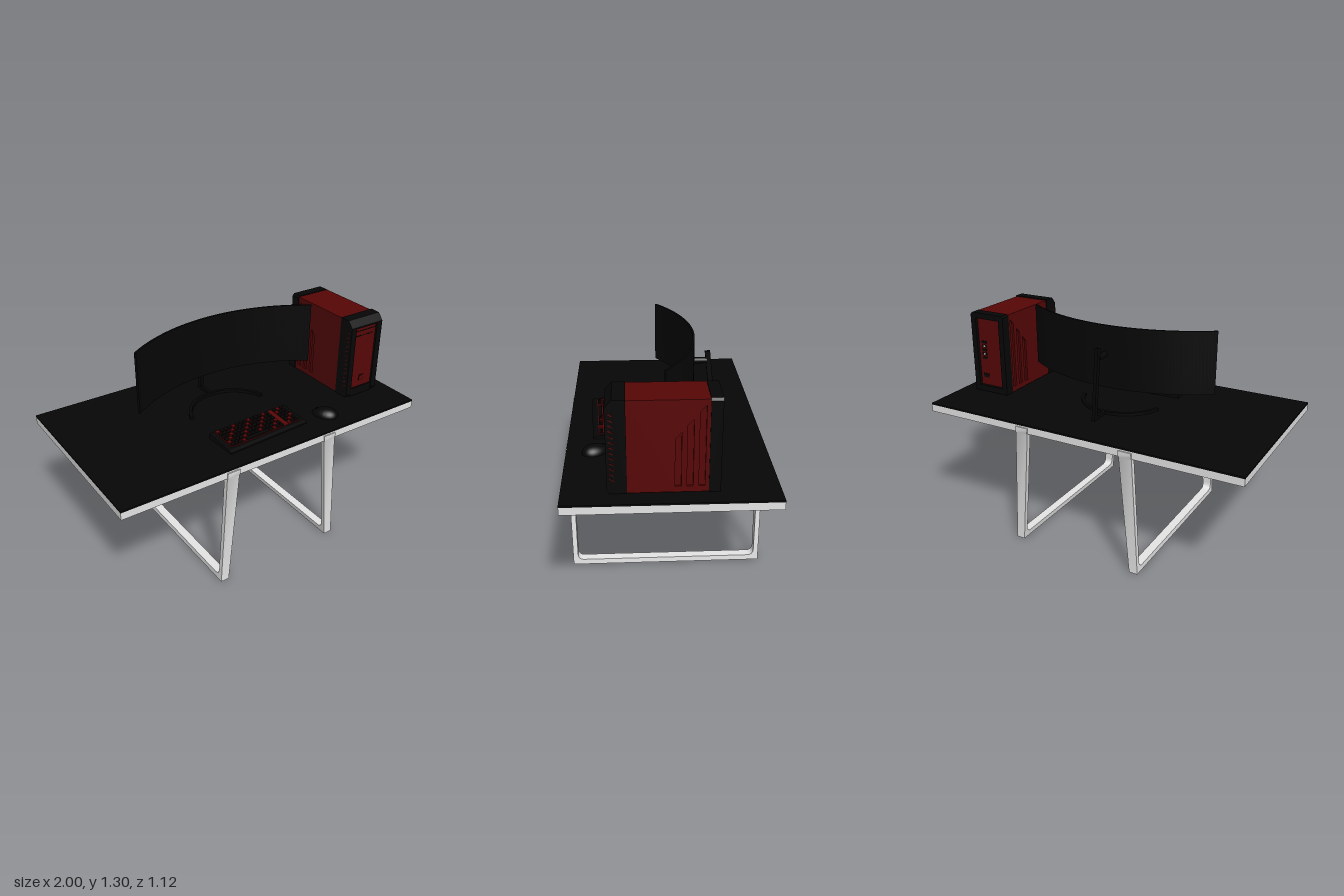
import * as THREE from 'three';
import { mergeGeometries, toCreasedNormals } from 'three/addons/utils/BufferGeometryUtils.js';

const mat = (name, color) => {
  const m = new THREE.MeshStandardMaterial({ color });
  m.name = name;
  return m;
};

export function createModel() {
  const black = mat('black', 0x060606);
  const red = mat('dark red', 0x580606);
  const white = mat('white', 0xeeeeee);
  const root = new THREE.Group();

  const group = (name, parent = root) => {
    const g = new THREE.Group();
    g.name = name;
    parent.add(g);
    return g;
  };
  const add = (name, geo, material, parent) => {
    const m = new THREE.Mesh(geo, material);
    m.name = name;
    parent.add(m);
    return m;
  };
  // box given by its min and max on each axis
  const box = (name, material, parent, x0, x1, y0, y1, z0, z1) => {
    const m = add(name, new THREE.BoxGeometry(x1 - x0, y1 - y0, z1 - z0), material, parent);
    m.position.set((x0 + x1) / 2, (y0 + y1) / 2, (z0 + z1) / 2);
    return m;
  };
  const poly = (pts) => new THREE.Shape(pts.map(([a, b]) => new THREE.Vector2(a, b)));
  const extrude = (shape, depth) =>
    new THREE.ExtrudeGeometry(shape, { depth, bevelEnabled: false, curveSegments: 32 });
  // side profile in (-z, y), extruded along +x from x0
  const sideExtrude = (shape, x0, width) => extrude(shape, width).rotateY(Math.PI / 2).translate(x0, 0, 0);
  // curved wall or plate seen from above, bulging to the back
  const arcPlate = (cz, r0, r1, half, y0, height) => {
    const s = new THREE.Shape();
    s.absarc(0, -cz, r1, Math.PI / 2 - half, Math.PI / 2 + half, false);
    s.absarc(0, -cz, r0, Math.PI / 2 + half, Math.PI / 2 - half, true);
    return toCreasedNormals(extrude(s, height).rotateX(-Math.PI / 2).translate(0, y0, 0), 0.5);
  };

  // ---- Desk ----
  const desk = group('desk');
  box('deskTop', black, desk, -1, 1, 0.758, 0.768, -0.555, 0.555);
  box('undersidePanel', white, desk, -0.97, 0.97, 0.73, 0.757, -0.53, 0.53);
  for (const s of [-1, 1]) {
    box('longRail', white, desk, -1, 1, 0.715, 0.758, s * 0.5355 - 0.0195, s * 0.5355 + 0.0195);
    box('shortRail', white, desk, s * 0.98 - 0.02, s * 0.98 + 0.02, 0.715, 0.758, -0.516, 0.516);
  }

  // ---- Legs: rounded U loops, leaning and widening to the top ----
  const u = new THREE.Shape();
  const o = 0.557, i = 0.528, b = 0.032, r = 0.04, top = 0.75;
  u.moveTo(-0.553, 0);
  u.lineTo(0.553, 0);
  u.lineTo(o, 0.71);
  u.lineTo(o + 0.005, 0.72);
  u.lineTo(o + 0.005, top);
  u.lineTo(i, top);
  u.lineTo(i - 0.003, b + r);
  u.quadraticCurveTo(i - 0.003, b, i - r, b);
  u.lineTo(-i + r, b);
  u.quadraticCurveTo(-i + 0.003, b, -i + 0.003, b + r);
  u.lineTo(-i, top);
  u.lineTo(-o - 0.005, top);
  u.lineTo(-o - 0.005, 0.72);
  u.lineTo(-o, 0.71);
  let legGeo = sideExtrude(u, 0, 1);
  const p = legGeo.attributes.position;
  for (let k = 0; k < p.count; k++) {
    const t = p.getY(k) / 0.75;
    const inner = 0.362 - 0.07 * t, outer = 0.414 - 0.042 * t;
    p.setX(k, inner + (outer - inner) * p.getX(k));
  }
  legGeo = toCreasedNormals(legGeo, 0.5);
  add('leftLegFrame', legGeo, white, desk);
  add('rightLegFrame', legGeo, white, desk).rotation.y = Math.PI;

  // ---- Curved monitor on a leaning stand ----
  const monitor = group('monitor');
  add('curvedScreen', arcPlate(0.862, 1.03, 1.042, 0.617, 0.93, 0.37), black, monitor);
  add('standFoot', arcPlate(0.07, 0.25, 0.27, 1.3, 0.768, 0.017), black, monitor);
  box('footBar', black, monitor, -0.01, 0.01, 0.768, 0.786, -0.32, -0.19);
  const post = poly([[0.292, 0.768], [0.322, 0.768], [0.275, 1.19], [0.245, 1.185]]);
  add('standPost', sideExtrude(post, -0.01, 0.02), black, monitor);
  const mount = add('mount', new THREE.CylinderGeometry(0.018, 0.018, 0.085, 20).rotateX(Math.PI / 2), black, monitor);
  mount.position.set(0, 1.13, -0.215);

  // ---- Computer tower ----
  const tower = group('computerTower');
  const X0 = 0.665, X1 = 0.905, Y0 = 0.773, Y1 = 1.275;
  box('body', red, tower, 0.682, 0.888, Y0, 1.27, -0.215, 0.24);

  // side panels with three slanted vents
  const panel = poly([[-0.22, Y0], [0.186, Y0], [0.186, 1.27], [-0.22, 1.27]]);
  [[0.017, 1.1], [0.076, 1.17], [0.135, 1.24]].forEach(([s, y]) =>
    panel.holes.push(poly([[s, 0.805], [s, y - 0.035], [s + 0.031, y], [s + 0.031, 0.805]])));
  for (const x of [0.67, 0.888]) add('sidePanel', sideExtrude(panel, x, 0.012), red, tower);

  // front bezel: chamfered cheeks around a recessed red panel
  const bezel = poly([[-0.32, 0.79], [-0.305, Y0], [-0.22, Y0], [-0.22, Y1], [-0.285, Y1], [-0.32, 1.235]]);
  add('bezelCheek', sideExtrude(bezel, X0, 0.037), black, tower);
  add('bezelCheek', sideExtrude(bezel, 0.866, X1 - 0.866), black, tower);
  const cap = poly([[-0.32, 1.225], [-0.22, 1.225], [-0.22, Y1], [-0.285, Y1], [-0.32, 1.235]]);
  add('bezelTop', sideExtrude(cap, 0.7, 0.17), black, tower);
  box('bezelBottom', black, tower, 0.7, 0.868, Y0, 0.825, 0.22, 0.316);
  box('frontPanel', red, tower, 0.7, 0.868, 0.824, 1.226, 0.23, 0.308);
  box('driveLine', black, tower, 0.703, 0.865, 1.198, 1.203, 0.307, 0.31);
  for (let k = 0; k < 6; k++) {
    const x = 0.718 + k * 0.023;
    box('driveSlot', black, tower, x, x + 0.016, 1.166, 1.172, 0.307, 0.31);
  }
  box('buttonRim', black, tower, 0.766, 0.804, 0.862, 0.9, 0.307, 0.31);
  box('button', red, tower, 0.77, 0.8, 0.866, 0.896, 0.308, 0.312);

  // slanted red slashes on both cheeks
  for (const x of [X0, X1]) {
    for (let k = 0; k < 13; k++) {
      const slash = add('bezelSlash', new THREE.BoxGeometry(0.003, 0.005, 0.028), red, tower);
      slash.position.set(x, 0.85 + k * 0.029, 0.294);
      slash.rotation.x = -0.5;
    }
  }

  // back frame with recessed red panel and connectors
  const back = poly([[X0, Y0], [X1, Y0], [X1, 1.262], [X1 - 0.013, Y1], [X0 + 0.013, Y1], [X0, 1.262]]);
  back.holes.push(poly([[0.7, 0.81], [0.7, 1.24], [0.87, 1.24], [0.87, 0.81]]));
  add('backFrame', extrude(back, 0.06).translate(0, 0, -0.245), black, tower);
  box('backPanel', red, tower, 0.7, 0.87, 0.81, 1.24, -0.225, -0.2);
  for (let k = 0; k < 5; k++) {
    const y = 0.98 + k * 0.025;
    box('port', black, tower, 0.815, 0.85, y, y + 0.016, -0.228, -0.224);
    if (k % 2) box('portPin', white, tower, 0.824, 0.836, y + 0.004, y + 0.012, -0.23, -0.227);
  }
  box('powerSocket', black, tower, 0.81, 0.85, 0.86, 0.885, -0.228, -0.224);
  for (const x of [0.68, 0.865]) for (const z of [-0.23, 0.24])
    box('towerFoot', black, tower, x, x + 0.025, 0.767, Y0 + 0.001, z, z + 0.03);

  // ---- Keyboard ----
  const keyboard = group('keyboard');
  keyboard.position.set(0, 0.768, 0.32);
  keyboard.rotation.y = 0.05;
  const wedge = poly([[-0.105, 0], [0.1, 0], [0.1, 0.032], [-0.085, 0.014], [-0.105, 0.008]]);
  add('keyboardCase', sideExtrude(wedge, -0.275, 0.55), black, keyboard);
  const deck = group('keyDeck', keyboard);
  deck.position.set(0, 0.0245, -0.012);
  deck.rotation.x = 0.097;
  box('backlightPlate', red, deck, -0.245, 0.25, -0.004, 0.002, -0.083, 0.083);
  const caps = [[], []];
  for (let row = 0; row < 6; row++) {
    for (let col = 0; col < 18; col++) {
      if (col === 14) continue;
      const space = row === 5 && col >= 4 && col <= 9;
      if (space && col > 4) continue;
      const w = space ? 0.156 : 0.021;
      const keyCap = new THREE.BoxGeometry(w, 0.009, 0.021);
      keyCap.translate(-0.241 + col * 0.0273 + w / 2, 0.004, -0.069 + row * 0.0275);
      caps[(row * 7 + col * 3) % 4 === 0 ? 1 : 0].push(keyCap);
    }
  }
  add('blackKeys', mergeGeometries(caps[0]), black, deck);
  add('redKeys', mergeGeometries(caps[1]), red, deck);

  // ---- Mouse ----
  const mouse = group('mouse');
  mouse.position.set(0.436, 0.768, 0.392);
  mouse.rotation.y = 0.55;
  const shell = new THREE.SphereGeometry(1, 28, 12, 0, Math.PI * 2, 0, Math.PI / 2);
  const mp = shell.attributes.position;
  for (let k = 0; k < mp.count; k++) {
    const z = mp.getZ(k);
    mp.setXYZ(k, mp.getX(k) * (0.056 + 0.006 * z), mp.getY(k) * (0.046 + 0.008 * z), z * 0.08);
  }
  shell.computeVertexNormals();
  add('mouseShell', shell, black, mouse);
  const wheel = add('mouseWheel', new THREE.CylinderGeometry(0.01, 0.01, 0.006, 16).rotateZ(Math.PI / 2), black, mouse);
  wheel.position.set(0, 0.028, -0.05);

  return root;
}
